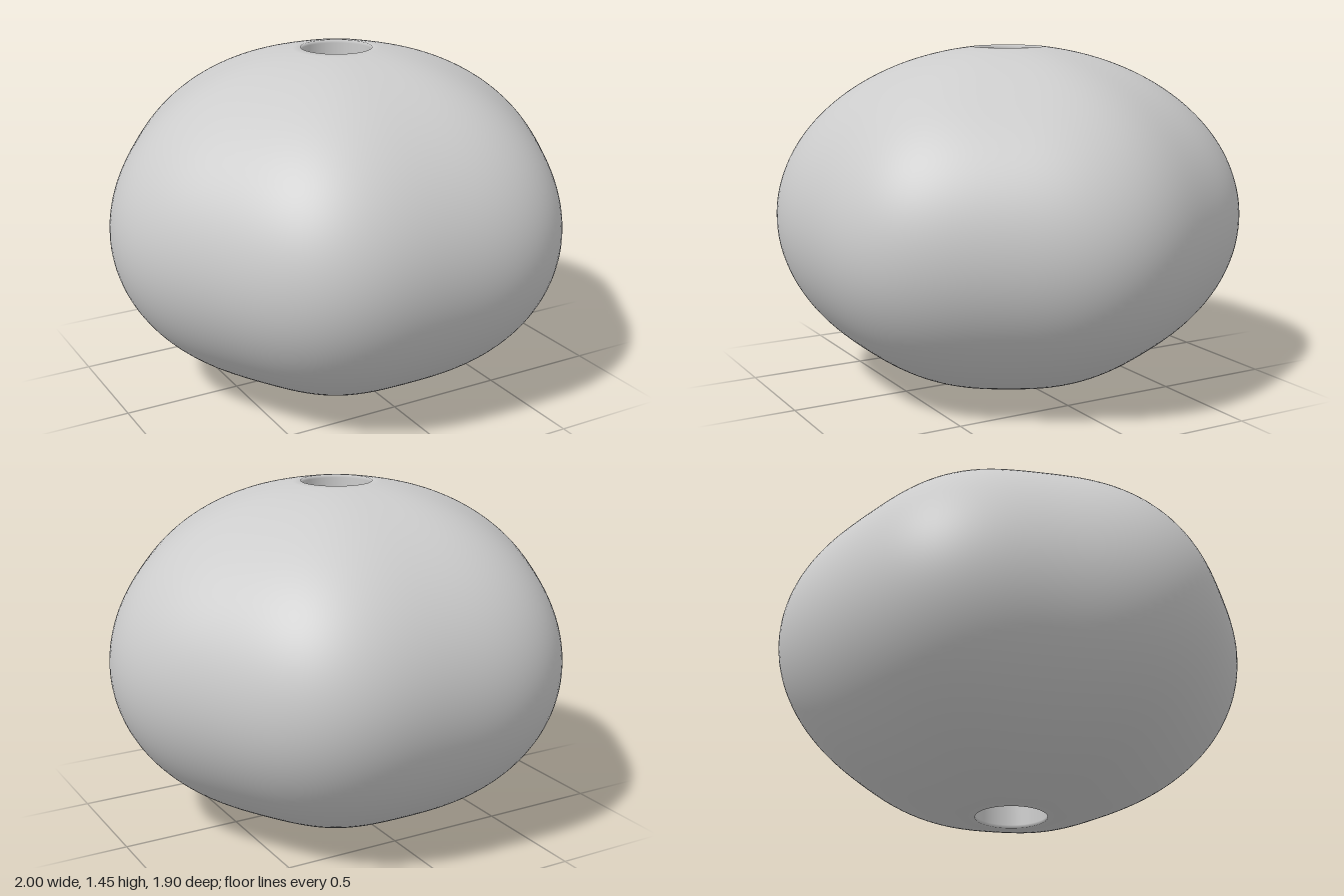
import * as THREE from 'three';
import { mergeVertices } from 'three/addons/utils/BufferGeometryUtils.js';

const HALF = 0.725;     // half of the bead's height
const HOLE = 0.15;      // radius of the bore
const LOBE = 0.029;     // depth of the six soft lobes

export function createModel() {
  const group = new THREE.Group();
  group.name = 'bead';
  const grey = new THREE.MeshStandardMaterial({ color: 0xcccccc });
  grey.name = 'light grey';

  // Closed profile: up the elliptical outside, then down the bore
  const profile = [];
  const tilt = Math.acos(HOLE);
  const rise = HALF / Math.sin(tilt);
  const steps = 80;
  for (let i = 0; i <= steps; i++) {
    const a = -tilt + (2 * tilt * i) / steps;
    profile.push(new THREE.Vector2(Math.cos(a), HALF + rise * Math.sin(a)));
  }
  for (const y of [0.98, 0.8, 0.4, 0, -0.4, -0.8, -0.98, -1]) {
    profile.push(new THREE.Vector2(HOLE, HALF + HALF * y));
  }

  // Revolve, then press six shallow flats that fade out toward the bore
  let geometry = new THREE.LatheGeometry(profile, 144);
  const pos = geometry.attributes.position;
  for (let i = 0; i < pos.count; i++) {
    const x = pos.getX(i), z = pos.getZ(i);
    const r = Math.hypot(x, z);
    const f = 1 + LOBE * (Math.cos(6 * Math.atan2(z, x)) - 1);
    const k = (HOLE + (r - HOLE) * f) / r;
    pos.setX(i, x * k);
    pos.setZ(i, z * k);
  }

  // Weld the seams for smooth shading all round
  geometry.deleteAttribute('uv');
  geometry.deleteAttribute('normal');
  geometry = mergeVertices(geometry, 1e-5);
  geometry.computeVertexNormals();

  const body = new THREE.Mesh(geometry, grey);
  body.name = 'beadBody';
  group.add(body);
  return group;
}
